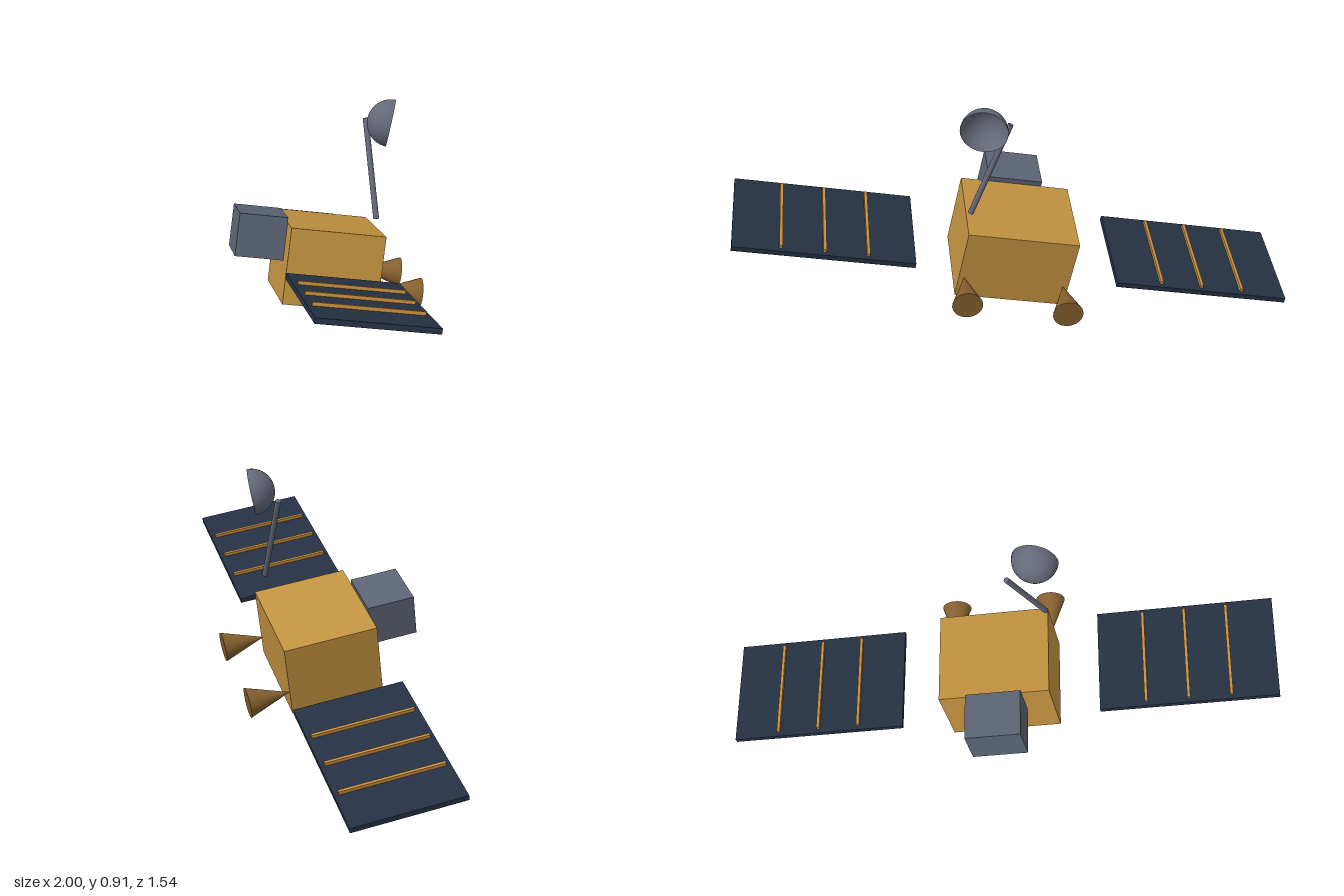
import * as THREE from 'three';

const mat = (name, color, side = THREE.FrontSide) => {
  const m = new THREE.MeshStandardMaterial({ color, side });
  m.name = name;
  return m;
};

export function createModel() {
  const gold = mat('gold foil', 0xc29240);
  const navy = mat('navy solar cell', 0x253143);
  const amber = mat('amber rib', 0xc98e3c);
  const bronze = mat('bronze nozzle', 0x85602f);
  const slate = mat('slate grey', 0x5c6474);
  const steel = mat('steel grey', 0x646878, THREE.DoubleSide);

  const up = new THREE.Vector3(0, 1, 0);
  const craft = new THREE.Group();
  craft.name = 'satellite';

  const add = (name, geometry, material, x, y, z, parent = craft) => {
    const mesh = new THREE.Mesh(geometry, material);
    mesh.name = name;
    mesh.position.set(x, y, z);
    parent.add(mesh);
    return mesh;
  };
  const box = (w, h, d) => new THREE.BoxGeometry(w, h, d);

  // Main body and the instrument box on its front
  add('body', box(0.43, 0.292, 0.363), gold, 0, 0, 0);
  add('instrumentBox', box(0.215, 0.166, 0.185), slate, 0, 0.083, 0.274);

  for (const side of [-1, 1]) {
    // Solar wing with three raised ribs
    const wing = new THREE.Group();
    wing.name = side > 0 ? 'leftSolarWing' : 'rightSolarWing';
    wing.position.x = side * 0.735;
    craft.add(wing);
    add('solarPanel', box(0.686, 0.02, 0.424), navy, 0, 0, 0, wing);
    for (const i of [-1, 0, 1]) {
      add('panelRib', box(0.012, 0.014, 0.39), amber, i * 0.163, 0.016, 0, wing);
    }

    // Thruster nozzle, wide end pointing backwards
    const nozzle = add('nozzle', new THREE.ConeGeometry(0.058, 0.165, 24), bronze,
      side * 0.194, -0.06, -0.26);
    nozzle.rotation.x = Math.PI / 2;
  }

  // Antenna mast, a thin rod between two points
  const foot = new THREE.Vector3(0.217, 0.212, -0.132);
  const tip = new THREE.Vector3(0.131, 0.576, -0.06);
  const mid = foot.clone().lerp(tip, 0.5);
  const mast = add('antennaMast', new THREE.CylinderGeometry(0.011, 0.011, foot.distanceTo(tip), 12),
    steel, mid.x, mid.y, mid.z);
  mast.quaternion.setFromUnitVectors(up, tip.clone().sub(foot).normalize());

  // Open hemispherical dish, dome turned towards the front
  const dish = add('antennaDish', new THREE.SphereGeometry(0.0885, 32, 12, 0, Math.PI * 2, 0, Math.PI / 2),
    steel, 0.238, 0.577, -0.135);
  dish.quaternion.setFromUnitVectors(up, new THREE.Vector3(-0.197, 0.089, 0.974).normalize());

  // Tilt the whole craft into its flying attitude
  const z = new THREE.Vector3(-0.58, 0.154, 0.8).normalize();
  const x = new THREE.Vector3(0.812, 0.186, 0.553).normalize();
  const y = z.clone().cross(x).normalize();
  x.crossVectors(y, z);
  craft.quaternion.setFromRotationMatrix(new THREE.Matrix4().makeBasis(x, y, z));
  craft.position.y = 0.2425;

  const model = new THREE.Group();
  model.name = 'model';
  model.add(craft);
  return model;
}
